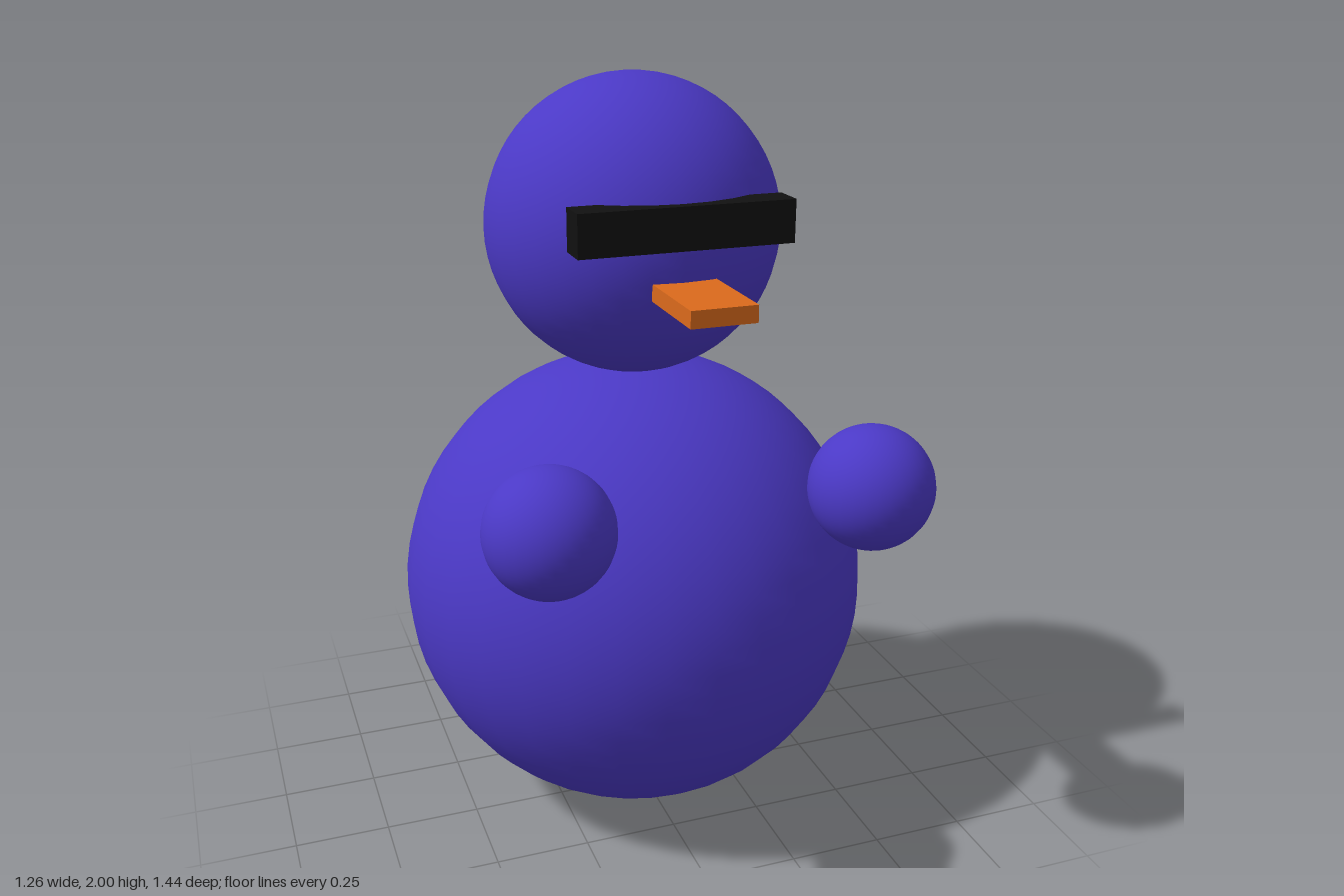
import * as THREE from 'three';

const material = (color) => new THREE.MeshStandardMaterial({ color });

export function createModel() {
  const group = new THREE.Group();
  const purple = material(0x4b39c6);
  const black = material(0x111111);
  const orange = material(0xdb6a1c);

  const add = (name, geometry, mat, x, y, z) => {
    const mesh = new THREE.Mesh(geometry, mat);
    mesh.name = name;
    mesh.position.set(x, y, z);
    group.add(mesh);
  };
  const ball = (name, radius, x, y, z) =>
    add(name, new THREE.SphereGeometry(radius, 32, 32), purple, x, y, z);

  // Round body with the head resting on top
  ball('body', 0.63, 0, 0.632, -0.088);
  ball('head', 0.381, 0, 1.619, -0.088);

  // Hands floating in front of the body, slightly off centre
  ball('leftHand', 0.152, 0.375, 1.09, 0.567);
  ball('rightHand', 0.152, -0.42, 1.09, 0.567);

  // Flat eye band and bill
  add('eyeBand', new THREE.BoxGeometry(0.54, 0.105, 0.086), black, 0.005, 1.683, 0.261);
  add('bill', new THREE.BoxGeometry(0.163, 0.042, 0.253), orange, 0.006, 1.531, 0.399);

  return group;
}
